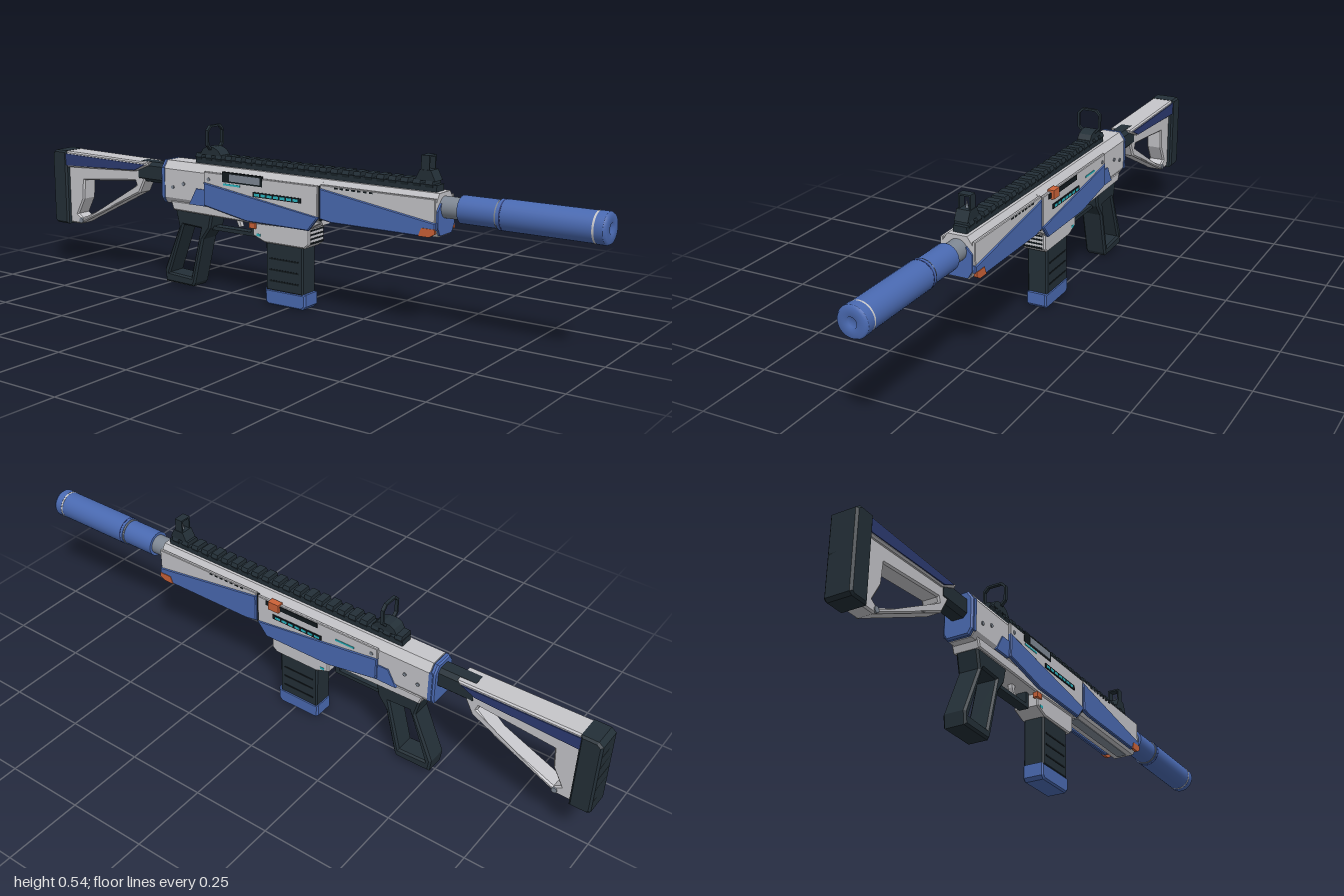
import * as THREE from 'three';

const paint = (name, color) => Object.assign(new THREE.MeshStandardMaterial({ color }), { name });

export function createModel() {
  const light = paint('light grey', 0xc6c6ca), blue = paint('blue', 0x4a6ab2), navy = paint('navy', 0x2c3b72);
  const dark = paint('dark slate', 0x232f37), steel = paint('steel', 0x7f8894), orange = paint('orange', 0xcc6238);
  const cyan = paint('cyan', 0x2bb8c4), black = paint('black', 0x12191d);
  const model = new THREE.Group();
  const body = new THREE.Group();
  body.name = 'body';
  body.position.z = 0.004;
  model.add(body);

  const add = (name, geo, mat) => {
    const m = new THREE.Mesh(geo, mat);
    m.name = name;
    body.add(m);
    return m;
  };
  const box = (name, x0, x1, y0, y1, z0, z1, mat) => {
    const m = add(name, new THREE.BoxGeometry(x1 - x0, y1 - y0, z1 - z0), mat);
    m.position.set((x0 + x1) / 2, (y0 + y1) / 2, (z0 + z1) / 2);
    return m;
  };
  const extrude = (pts, holes, depth, bevel) => {
    const shape = new THREE.Shape(pts.map(p => new THREE.Vector2(...p)));
    for (const h of holes) shape.holes.push(new THREE.Path(h.map(p => new THREE.Vector2(...p))));
    const geo = new THREE.ExtrudeGeometry(shape, {
      depth: depth - 2 * bevel, bevelEnabled: bevel > 0, bevelSize: bevel, bevelOffset: -bevel,
      bevelThickness: bevel, bevelSegments: 1, curveSegments: 8,
    });
    return geo.translate(0, 0, bevel);
  };
  // side outline [x, y] extruded across z
  const slab = (name, pts, z0, z1, mat, holes = [], bevel = 0) =>
    add(name, extrude(pts, holes, z1 - z0, bevel).translate(0, 0, z0), mat);
  // symmetric cross-section [z, y] extruded along x
  const section = (name, pts, x0, x1, mat, holes = [], bevel = 0) =>
    add(name, extrude(pts, holes, x1 - x0, bevel).rotateY(Math.PI / 2).translate(x0, 0, 0), mat);
  // the same panel on both flanks
  const flanks = (name, pts, z0, z1, mat, bevel = 0) => {
    slab(name + 'Left', pts, z0, z1, mat, [], bevel);
    slab(name + 'Right', pts, -z1, -z0, mat, [], bevel);
  };
  const rect = (x0, x1, y0, y1) => [[x0, y0], [x1, y0], [x1, y1], [x0, y1]];
  const octagon = (w, y0, y1, c) => [[-w + c, y0], [w - c, y0], [w, y0 + c], [w, y1 - c],
    [w - c, y1], [-w + c, y1], [-w, y1 - c], [-w, y0 + c]];

  // Stock
  slab('buttPad', [[-1, 0.155], [-0.99, 0.147], [-0.935, 0.147], [-0.935, 0.402], [-0.985, 0.402], [-1, 0.39]],
    -0.043, 0.043, dark, [], 0.006);
  for (let i = 0; i < 5; i++) box('padGroove', -1, -0.992, 0.19 + i * 0.04, 0.198 + i * 0.04, -0.034, 0.034, black);
  slab('stockFrame', [[-0.938, 0.15], [-0.89, 0.15], [-0.61, 0.29], [-0.57, 0.365], [-0.6, 0.375], [-0.938, 0.375]],
    -0.028, 0.028, light,
    [[[-0.865, 0.305], [-0.63, 0.328], [-0.625, 0.315], [-0.69, 0.258], [-0.88, 0.172], [-0.9, 0.185], [-0.87, 0.24]]], 0.005);
  slab('stockComb', [[-0.938, 0.345], [-0.62, 0.362], [-0.565, 0.385], [-0.56, 0.396], [-0.938, 0.401]],
    -0.038, 0.038, light, [], 0.005);
  flanks('stockStripe', [[-0.938, 0.352], [-0.62, 0.366], [-0.575, 0.388], [-0.938, 0.392]], 0.036, 0.041, navy);
  for (const s of [-1, 1]) {
    const pin = add('stockPin', new THREE.CylinderGeometry(0.009, 0.009, 0.006, 12).rotateX(Math.PI / 2), steel);
    pin.position.set(-0.885, 0.163, s * 0.028);
  }
  section('stockTube', octagon(0.03, 0.33, 0.397, 0.012), -0.61, -0.48, dark);

  // Receiver
  const hull = [[-0.036, 0.275], [0.036, 0.275], [0.048, 0.295], [0.048, 0.388], [0.03, 0.413],
    [-0.03, 0.413], [-0.048, 0.388], [-0.048, 0.295]];
  section('receiver', hull, -0.48, 0.13, light);
  section('rearPlate', hull, -0.497, -0.479, blue, [], 0.005);
  flanks('rearEdge', rect(-0.49, -0.478, 0.29, 0.39), 0.044, 0.05, blue);
  flanks('rearWedge', [[-0.375, 0.283], [-0.31, 0.283], [-0.31, 0.336], [-0.345, 0.336]], 0.044, 0.052, blue);
  flanks('upperPanel', [[-0.31, 0.36], [0.123, 0.3], [0.123, 0.395], [-0.31, 0.395]], 0.046, 0.056, light, 0.002);
  flanks('lowerPanel', [[-0.31, 0.287], [-0.14, 0.257], [0.09, 0.257], [0.123, 0.297], [0.123, 0.303], [-0.31, 0.361]],
    0.046, 0.0585, blue, 0.003);
  slab('lowerReceiver', [[-0.45, 0.255], [-0.14, 0.25], [0.08, 0.255], [0.13, 0.285], [-0.46, 0.285]], -0.044, 0.044, light, [], 0.004);
  flanks('seam', rect(0.123, 0.131, 0.29, 0.395), 0.04, 0.05, black);
  for (const s of [-1, 1]) for (const [x, y] of [[-0.445, 0.33], [-0.4, 0.345], [-0.29, 0.372]]) {
    const pin = add('receiverPin', new THREE.CylinderGeometry(0.006, 0.006, 0.006, 10).rotateX(Math.PI / 2), steel);
    pin.position.set(x, y, s * (x > -0.31 ? 0.055 : 0.048));
  }

  // Ejection port and vents
  slab('portFrame', rect(-0.235, -0.08, 0.37, 0.402), 0.05, 0.0575, black);
  slab('portCover', rect(-0.205, -0.088, 0.375, 0.397), 0.052, 0.059, steel);
  flanks('ventSlot', [[-0.115, 0.337], [0.065, 0.337], [0.065, 0.352], [-0.115, 0.352]], 0.05, 0.0588, black);
  for (let i = 0; i < 7; i++) {
    const x = -0.108 + i * 0.024;
    flanks('ventLight', rect(x, x + 0.018, 0.34, 0.348), 0.055, 0.0594, cyan);
  }
  flanks('smallVent', rect(-0.23, -0.165, 0.36, 0.366), 0.05, 0.0575, cyan);

  // Charging knob on the right flank, selector button on the left
  box('chargingSlot', -0.1, 0.09, 0.376, 0.392, -0.058, -0.05, black);
  box('chargingKnob', 0.037, 0.075, 0.372, 0.4, -0.0665, -0.045, orange);
  box('releaseButton', -0.14, -0.115, 0.235, 0.252, 0.03, 0.046, orange);

  // Handguard
  const guard = [[-0.034, 0.29], [0.034, 0.29], [0.047, 0.318], [0.047, 0.388], [0.03, 0.413],
    [-0.03, 0.413], [-0.047, 0.388], [-0.047, 0.318]];
  section('handguard', guard, 0.13, 0.515, light);
  section('handguardNose', [[-0.033, 0.294], [0.033, 0.294], [0.047, 0.318], [0.047, 0.365], [0.03, 0.385],
    [-0.03, 0.385], [-0.047, 0.365], [-0.047, 0.318]], 0.513, 0.521, blue);
  flanks('guardUpper', [[0.13, 0.385], [0.515, 0.33], [0.515, 0.4], [0.13, 0.4]], 0.044, 0.054, light, 0.002);
  flanks('guardLower', [[0.13, 0.298], [0.17, 0.291], [0.47, 0.291], [0.518, 0.312], [0.518, 0.333], [0.13, 0.39]],
    0.044, 0.057, blue, 0.003);
  flanks('guardAccent', [[0.465, 0.292], [0.5, 0.292], [0.517, 0.302], [0.517, 0.316], [0.475, 0.316]], 0.05, 0.059, orange);
  for (let i = 0; i < 7; i++)
    flanks('guardNotch', rect(0.18 + i * 0.02, 0.192 + i * 0.02, 0.392, 0.397), 0.05, 0.0545, black);
  box('underChannel', 0.16, 0.5, 0.287, 0.293, -0.016, 0.016, steel);

  // Rail with teeth
  box('railBase', -0.37, 0.5, 0.408, 0.432, -0.021, 0.021, dark);
  for (let i = 0; i < 22; i++) {
    const x = -0.368 + i * 0.0396;
    section('railTooth', [[-0.021, 0.424], [0.021, 0.424], [0.025, 0.433], [0.02, 0.445], [-0.02, 0.445], [-0.025, 0.433]],
      x, x + 0.024, dark);
  }

  // Rear ring sight
  slab('rearSightBase', [[-0.35, 0.442], [-0.265, 0.442], [-0.28, 0.46], [-0.3, 0.468], [-0.325, 0.468], [-0.34, 0.46]],
    -0.022, 0.022, dark);
  section('rearSightRing', octagon(0.039, 0.459, 0.537, 0.015), -0.314, -0.304, dark, [octagon(0.033, 0.465, 0.531, 0.013)]);

  // Front sight
  slab('frontSightBase', [[0.43, 0.442], [0.495, 0.442], [0.48, 0.472], [0.445, 0.472]], -0.021, 0.021, dark);
  section('frontSightFrame', rect(-0.019, 0.019, 0.468, 0.513), 0.448, 0.474, dark, [rect(-0.0145, 0.0145, 0.47, 0.508)]);
  add('sightPost', new THREE.ConeGeometry(0.005, 0.028, 8), steel).position.set(0.461, 0.484, 0);

  // Barrel and muzzle tube
  const turn = (name, pts, mat) => {
    const geo = new THREE.LatheGeometry(pts.map(([r, x]) => new THREE.Vector2(r, x)), 32).rotateZ(-Math.PI / 2);
    const m = add(name, geo.index ? geo.toNonIndexed() : geo, mat);
    m.position.y = 0.371;
    return m;
  };
  const tube = (name, r, x0, x1, mat) => {
    const m = add(name, new THREE.CylinderGeometry(r, r, x1 - x0, 32).rotateZ(-Math.PI / 2), mat);
    m.position.set((x0 + x1) / 2, 0.371, 0);
  };
  tube('barrel', 0.031, 0.5, 0.58, steel);
  tube('muzzleCollar', 0.04, 0.573, 0.688, blue);
  tube('collarRing', 0.042, 0.686, 0.692, steel);
  tube('muzzleSleeve', 0.044, 0.691, 0.962, blue);
  tube('sleeveGroove', 0.0445, 0.7, 0.704, navy);
  tube('muzzleRing', 0.0446, 0.962, 0.968, light);
  tube('muzzleEnd', 0.045, 0.968, 0.992, blue);
  turn('muzzleCap', [[0.045, 0.992], [0.04, 1], [0.016, 1], [0.014, 0.993], [0, 0.993]], blue);

  // Grip and trigger
  slab('grip', [[-0.495, 0.01], [-0.38, 0.008], [-0.372, 0.02], [-0.335, 0.17], [-0.305, 0.21], [-0.295, 0.26],
    [-0.45, 0.262], [-0.435, 0.2], [-0.5, 0.05]], -0.036, 0.036, dark,
  [[[-0.478, 0.042], [-0.388, 0.038], [-0.345, 0.205], [-0.415, 0.208]]], 0.006);
  box('triggerGuard', -0.31, -0.14, 0.202, 0.214, -0.016, 0.016, dark);
  box('guardPost', -0.155, -0.14, 0.205, 0.255, -0.016, 0.016, dark);
  slab('trigger', [[-0.22, 0.258], [-0.2, 0.258], [-0.205, 0.24], [-0.2, 0.224], [-0.21, 0.222], [-0.218, 0.24]],
    -0.007, 0.007, light);

  // Magazine well with slatted front
  slab('magazineWell', [[-0.13, 0.262], [-0.13, 0.212], [-0.085, 0.195], [0.065, 0.195], [0.083, 0.21], [0.083, 0.262]],
    -0.04, 0.04, light, [], 0.004);
  for (let i = 0; i < 4; i++) box('wellSlot', 0.076, 0.0845, 0.21 + i * 0.013, 0.215 + i * 0.013, -0.033, 0.033, black);
  flanks('wellLight', rect(-0.115, -0.1, 0.212, 0.22), 0.036, 0.041, cyan);

  // Magazine
  slab('magazine', rect(-0.084, 0.055, 0.045, 0.2), -0.034, 0.034, dark, [], 0.005);
  for (let i = 0; i < 3; i++) flanks('magazineRib', rect(-0.07, 0.04, 0.075 + i * 0.035, 0.08 + i * 0.035), 0.03, 0.0355, black);
  slab('magazineBase', [[-0.088, 0.01], [-0.078, 0], [0.052, 0], [0.064, 0.012], [0.064, 0.05], [-0.088, 0.05]],
    -0.034, 0.034, blue, [], 0.005);

  return model;
}
